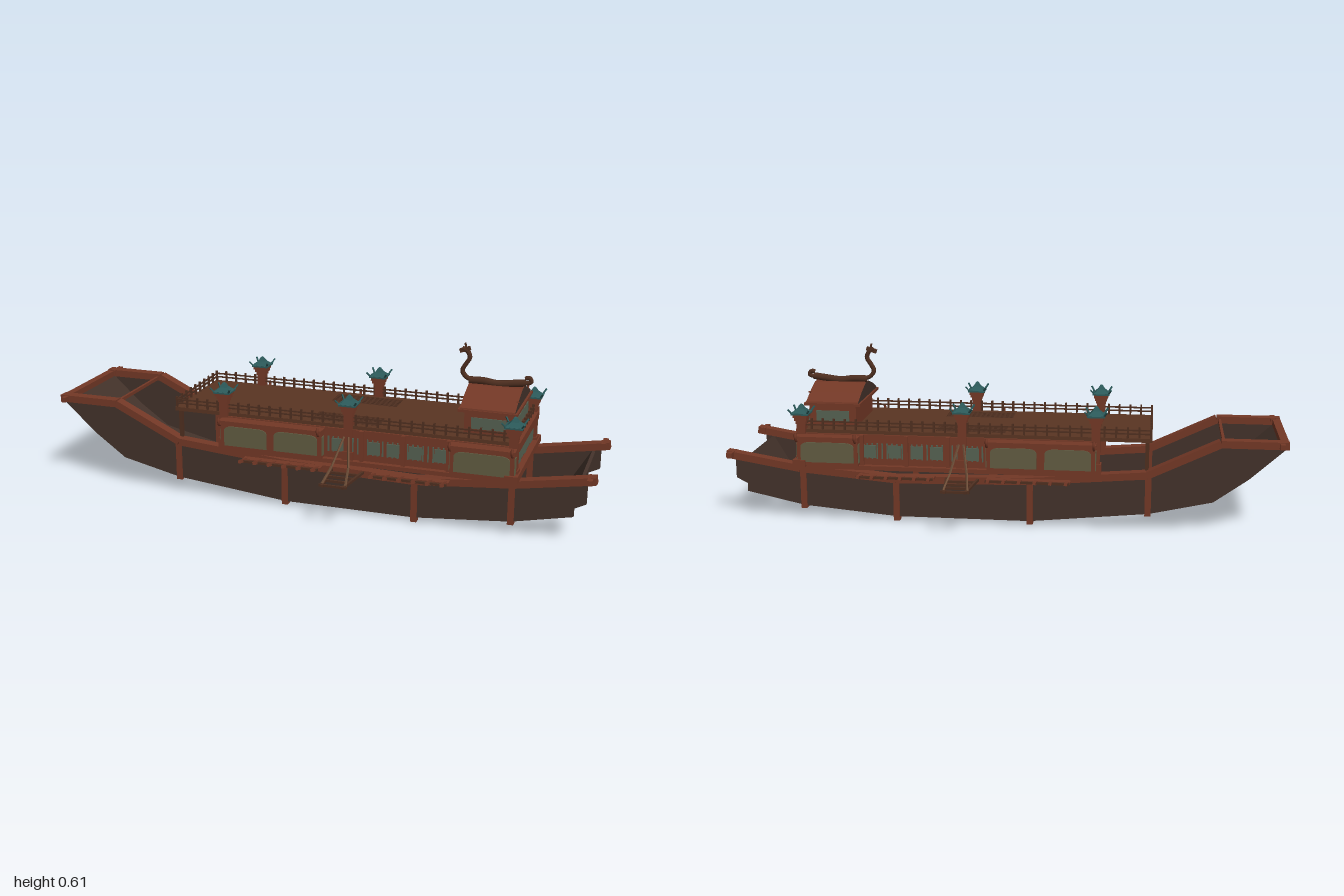
import * as THREE from 'three';

const material = (name, color, side = THREE.FrontSide) => {
  const m = new THREE.MeshStandardMaterial({ color, side });
  m.name = name;
  return m;
};

export function createModel() {
  const hullWood = material('dark hull wood', 0x43322a);
  const trim = material('red brown trim', 0x733826);
  const deck = material('deck brown', 0x5a3522);
  const rail = material('railing brown', 0x4f2f20);
  const panel = material('olive panel', 0x625c42);
  const screen = material('grey green screen', 0x566252);
  const teal = material('teal tile', 0x2c5a5a, THREE.DoubleSide);
  const rope = material('light pole wood', 0x6b4c36);

  const model = new THREE.Group();
  model.name = 'riverBarge';
  const group = (name, parent = model) => {
    const g = new THREE.Group();
    g.name = name;
    parent.add(g);
    return g;
  };
  const add = (parent, name, geo, mat) => {
    const m = new THREE.Mesh(geo, mat);
    m.name = name;
    parent.add(m);
    return m;
  };
  // box from its lower and upper limits on each axis
  const box = (parent, name, mat, x0, x1, y0, y1, z0, z1) => {
    const m = add(parent, name, new THREE.BoxGeometry(Math.abs(x1 - x0), Math.abs(y1 - y0), Math.abs(z1 - z0)), mat);
    m.position.set((x0 + x1) / 2, (y0 + y1) / 2, (z0 + z1) / 2);
    return m;
  };
  // straight beam between two points
  const bar = (parent, name, mat, a, b, h, w = h) => {
    const p = new THREE.Vector3(...a), d = new THREE.Vector3(...b).sub(p);
    const m = add(parent, name, new THREE.BoxGeometry(d.length(), h, w), mat);
    m.position.copy(p).addScaledVector(d, 0.5);
    m.quaternion.setFromUnitVectors(new THREE.Vector3(1, 0, 0), d.normalize());
    return m;
  };
  const tube = (parent, name, mat, pts, r) => add(parent, name, new THREE.TubeGeometry(
    new THREE.CatmullRomCurve3(pts.map(p => new THREE.Vector3(...p))), 18, r, 6), mat);

  // hull side profile
  const top = [[-1, 0.32], [-0.77, 0.32], [-0.52, 0.2], [-0.1, 0.165], [0.37, 0.155], [0.72, 0.185], [0.99, 0.23]];
  const bottom = [[0.96, 0.21], [0.96, 0.14], [0.92, 0.12], [0.92, 0.09], [0.71, 0.045], [0.37, 0.015],
    [-0.11, 0.015], [-0.53, 0.058], [-0.75, 0.108], [-0.87, 0.195], [-0.99, 0.305]];
  const side = new THREE.Shape([...top, ...bottom].map(p => new THREE.Vector2(...p)));
  const hull = group('hull');
  for (const s of [1, -1]) {
    const wall = add(hull, 'hullSide', new THREE.ExtrudeGeometry(side, { depth: 0.016, bevelEnabled: false }), hullWood);
    wall.position.z = s * 0.18 - 0.008;
    for (let i = 0; i < top.length - 1; i++)
      bar(hull, 'gunwale', trim, [...top[i], s * 0.184], [...top[i + 1], s * 0.184], 0.026, 0.038);
    for (const [x, y0, y1] of [[-0.525, 0.05, 0.2], [-0.11, 0.004, 0.165], [0.37, 0, 0.16], [0.71, 0.035, 0.185]])
      box(hull, 'hullRib', trim, x - 0.011, x + 0.011, y0, y1, s * 0.166, s * 0.194);
    for (const [x, y] of [[-0.975, 0.322], [0.97, 0.23]])
      box(hull, 'endPeg', trim, x - 0.009, x + 0.009, y - 0.009, y + 0.009, s * 0.16, s * 0.228);
  }
  // sloping stern floor, cross beams and bow board
  const ramp = [[-0.985, 0.31], [-0.87, 0.203], [-0.75, 0.117], [-0.535, 0.068]];
  for (let i = 0; i < 3; i++)
    bar(hull, 'sternFloor', hullWood, [...ramp[i], 0], [...ramp[i + 1], 0], 0.012, 0.345);
  box(hull, 'sternBeam', trim, -1, -0.972, 0.308, 0.33, -0.17, 0.17);
  box(hull, 'sternCrossbar', trim, -0.785, -0.775, 0.312, 0.324, -0.17, 0.17);
  bar(hull, 'bowBoard', hullWood, [0.86, 0.078, 0], [0.935, 0.205, 0], 0.012, 0.345);

  // cabin shell and roof deck with two grated hatches
  const cabin = group('cabin');
  const outline = new THREE.Shape([[-0.535, -0.185], [0.72, -0.185], [0.72, 0.185], [-0.535, 0.185]]
    .map(p => new THREE.Vector2(...p)));
  for (const s of [1, -1]) {
    outline.holes.push(new THREE.Path([[-0.02, 0.07], [0.23, 0.07], [0.23, 0.16], [-0.02, 0.16]]
      .map(([x, z]) => new THREE.Vector2(x, s * z))));
    for (let i = 0; i <= 14; i++) {
      const x = -0.02 + i * 0.25 / 14;
      box(cabin, 'hatchGrate', rail, x - 0.004, x + 0.004, 0.319, 0.325, s * 0.07, s * 0.16);
    }
    for (let i = 0; i <= 6; i++) {
      const z = s * (0.07 + i * 0.015);
      box(cabin, 'hatchGrate', rail, -0.02, 0.23, 0.319, 0.325, z - 0.003, z + 0.003);
    }
  }
  const roof = add(cabin, 'roofDeck', new THREE.ExtrudeGeometry(outline, { depth: 0.014, bevelEnabled: false }), deck);
  roof.rotation.x = -Math.PI / 2;
  roof.position.y = 0.314;
  for (const [x, w] of [[-0.335, 0.012], [0.7, 0.014]])
    box(cabin, 'cabinEndWall', trim, x, x + w, 0.205, 0.315, -0.175, 0.175);
  box(cabin, 'bowSill', trim, 0.69, 0.735, 0.2, 0.225, -0.235, 0.235);
  box(cabin, 'bowLintel', trim, 0.7, 0.73, 0.3, 0.33, -0.19, 0.19);
  // lattice screens across a wall that faces the bow
  const bowScreen = (x, y0, y1, half, patches) => {
    const count = Math.round(half * 2 / 0.014);
    for (let i = 0; i <= count; i++) {
      const z = -half + i * half * 2 / count;
      box(cabin, 'bowLattice', screen, x, x + 0.004, y0, y1, z - 0.0025, z + 0.0025);
    }
    for (const z of patches)
      box(cabin, 'bowScreen', screen, x, x + 0.006, y0, y1, z - 0.017, z + 0.017);
  };
  bowScreen(0.714, 0.235, 0.28, 0.155, [-0.115, 0, 0.115]);

  for (const s of [1, -1]) {
    box(cabin, 'cabinSideWall', trim, -0.335, 0.714, 0.195, 0.315, s * 0.178, s * 0.192);
    box(cabin, 'sideSill', trim, -0.34, 0.72, 0.19, 0.205, s * 0.18, s * 0.212);
    box(cabin, 'roofPost', rail, -0.525, -0.512, 0.19, 0.315, s * 0.165, s * 0.178);
    // projecting bays with sloped eaves
    for (const [x0, x1, panes] of [[-0.34, 0.04, 2], [0.5, 0.72, 1]]) {
      box(cabin, 'bay', trim, x0, x1, 0.205, 0.3, s * 0.19, s * 0.224);
      const w = (x1 - x0) / panes;
      for (let i = 0; i < panes; i++) {
        const a = x0 + i * w + 0.014, b = x0 + (i + 1) * w - 0.014;
        const p = new THREE.Shape();
        p.moveTo(a, 0.217); p.lineTo(b, 0.217); p.lineTo(b, 0.272);
        p.quadraticCurveTo(b, 0.288, b - 0.03, 0.29); p.lineTo(a + 0.03, 0.29);
        p.quadraticCurveTo(a, 0.288, a, 0.272);
        const m = add(cabin, 'bayPanel', new THREE.ExtrudeGeometry(p, { depth: 0.005, bevelEnabled: false }), panel);
        m.position.z = s > 0 ? 0.223 : -0.228;
      }
      for (const x of [x0, x1])
        box(cabin, 'bayEndPanel', panel, x - 0.003, x + 0.003, 0.216, 0.285, s * 0.198, s * 0.22);
      bar(cabin, 'bayEave', trim, [x0 - 0.004, 0.305, s * 0.212], [x1 + 0.004, 0.305, s * 0.212], 0.014, 0.052);
      for (const x of [x0 + 0.004, x1 - 0.004])
        tube(cabin, 'eaveHook', trim, [[x, 0.3, s * 0.225], [x, 0.298, s * 0.243], [x, 0.312, s * 0.253], [x, 0.328, s * 0.25]], 0.005);
    }
    // recessed middle windows
    for (let x = 0.055; x < 0.49; x += 0.018)
      box(cabin, 'sideLattice', screen, x, x + 0.005, 0.228, 0.285, s * 0.191, s * 0.195);
    for (const x of [0.07, 0.2, 0.27, 0.35, 0.44])
      box(cabin, 'sideScreen', screen, x, x + 0.045, 0.232, 0.278, s * 0.191, s * 0.197);
    for (const x of [0.18, 0.33, 0.49])
      box(cabin, 'windowPost', trim, x - 0.007, x + 0.007, 0.205, 0.315, s * 0.19, s * 0.204);
  }

  // railings around the roof deck
  const railing = group('railing');
  const fence = (a, b) => {
    const n = Math.round(Math.hypot(b[0] - a[0], b[1] - a[1]) / 0.04);
    for (const y of [0.343, 0.356]) bar(railing, 'handrail', rail, [a[0], y, a[1]], [b[0], y, b[1]], 0.005);
    for (let i = 0; i <= n; i++) {
      const x = a[0] + (b[0] - a[0]) * i / n, z = a[1] + (b[1] - a[1]) * i / n;
      box(railing, 'baluster', rail, x - 0.0035, x + 0.0035, 0.325, 0.367, z - 0.0035, z + 0.0035);
    }
  };
  for (const s of [1, -1]) fence([-0.53, s * 0.18], [0.715, s * 0.18]);
  fence([-0.53, -0.18], [-0.53, 0.18]);
  fence([0.715, -0.18], [0.715, 0.18]);

  // lantern columns with curved tile caps
  const v2 = pts => pts.map(p => new THREE.Vector2(...p));
  const lathe4 = pts => new THREE.LatheGeometry(v2(pts), 4, Math.PI / 4).toNonIndexed();
  for (const [x, h] of [[-0.34, 0.405], [0.13, 0.405], [0.71, 0.385]]) for (const s of [1, -1]) {
    const col = group('column');
    col.position.set(x, 0, s * 0.184);
    box(col, 'shaft', trim, -0.015, 0.015, 0.19, h - 0.03, -0.015, 0.015);
    box(col, 'base', trim, -0.02, 0.02, 0.19, 0.235, -0.02, 0.02);
    for (let i = 0; i < 3; i++) {
      const r = 0.018 + i * 0.004, y = h - 0.035 + i * 0.011;
      box(col, 'capital', trim, -r, r, y, y + 0.011, -r, r);
    }
    const capGeo = lathe4([[0.046, 0.004], [0.034, 0.007], [0.018, 0.018], [0.007, 0.032], [0, 0.036]]);
    capGeo.computeVertexNormals();
    add(col, 'tileCap', capGeo, teal).position.y = h;
    box(col, 'capUnderside', teal, -0.031, 0.031, h - 0.002, h + 0.005, -0.031, 0.031);
    for (const a of [1, -1]) for (const b of [1, -1])
      bar(col, 'capHorn', teal, [a * 0.028, h + 0.005, b * 0.028], [a * 0.038, h + 0.02, b * 0.038], 0.005);
  }

  // pavilion on the roof deck
  const pavilion = group('pavilion');
  box(pavilion, 'pavilionBody', trim, 0.525, 0.695, 0.325, 0.412, -0.13, 0.13);
  bowScreen(0.696, 0.345, 0.385, 0.115, [-0.05, 0.04, -0.1]);
  for (const s of [1, -1]) {
    box(pavilion, 'pavilionScreen', screen, 0.55, 0.67, 0.345, 0.385, s * 0.129, s * 0.134);
    bar(pavilion, 'eaveTip', trim, [0.7, 0.44, s * 0.085], [0.7, 0.447, s * 0.108], 0.006);
  }
  const gable = new THREE.Shape(v2([[-0.147, 0.412], [0.147, 0.412], [0.145, 0.42], [0.09, 0.445], [0.02, 0.468],
    [-0.02, 0.468], [-0.09, 0.445], [-0.145, 0.42]]));
  const gableGeo = new THREE.ExtrudeGeometry(gable, { depth: 0.19, bevelEnabled: false });
  gableGeo.rotateY(Math.PI / 2);
  add(pavilion, 'pavilionRoof', gableGeo, [hullWood, trim]).position.x = 0.512;
  box(pavilion, 'eaveBoard', trim, 0.505, 0.71, 0.406, 0.415, -0.15, 0.15);

  // ridge beast: long body, rearing neck and curled tail
  tube(pavilion, 'ridgeBody', rail, [[0.51, 0.478, 0], [0.56, 0.479, 0], [0.61, 0.473, 0], [0.67, 0.48, 0], [0.71, 0.485, 0]], 0.013);
  tube(pavilion, 'ridgeNeck', rail, [[0.53, 0.478, 0], [0.5, 0.487, 0], [0.485, 0.51, 0], [0.497, 0.535, 0],
    [0.51, 0.558, 0], [0.5, 0.582, 0], [0.482, 0.59, 0]], 0.0085);
  bar(pavilion, 'ridgeHead', rail, [0.51, 0.592, 0], [0.474, 0.58, 0], 0.014, 0.012);
  bar(pavilion, 'ridgeHorn', rail, [0.495, 0.594, 0], [0.492, 0.609, 0], 0.006);
  tube(pavilion, 'ridgeTail', rail, [[0.68, 0.482, 0], [0.705, 0.483, 0], [0.727, 0.49, 0], [0.72, 0.503, 0], [0.705, 0.5, 0]], 0.008);

  // outriggers, benches and stays along both sides
  const rigging = group('outriggers');
  for (const s of [1, -1]) {
    for (const [x0, x1] of [[-0.255, 0.04], [0.225, 0.5]]) {
      bar(rigging, 'benchPlank', rail, [x0, 0.178, s * 0.262], [x1, 0.178, s * 0.262], 0.008, 0.008);
      bar(rigging, 'benchStep', trim, [x0, 0.172, s * 0.22], [x1, 0.172, s * 0.22], 0.008, 0.03);
      for (let i = 0; i <= 5; i++) {
        const x = x0 + 0.012 + i * (x1 - x0 - 0.024) / 5;
        bar(rigging, 'benchArm', trim, [x, 0.165, s * 0.195], [x, 0.184, s * 0.287], 0.011);
      }
    }
    for (const e of [1, -1]) {
      bar(rigging, 'boomPole', rail, [0.13 + e * 0.058, 0.165, s * 0.19], [0.13 + e * 0.036, 0.165, s * 0.37], 0.009);
      bar(rigging, 'lowerStay', rope, [0.13 + e * 0.042, 0.168, s * 0.355], [0.13 + e * 0.03, 0.207, s * 0.285], 0.006);
      bar(rigging, 'upperStay', rope, [0.13 + e * 0.03, 0.207, s * 0.285], [0.13 + e * 0.008, 0.295, s * 0.215], 0.006);
    }
    for (const [z, w] of [[0.235, 0.053], [0.275, 0.048], [0.315, 0.043], [0.362, 0.05]])
      bar(rigging, 'boomRung', rail, [0.13 - w, 0.165, s * z], [0.13 + w, 0.165, s * z], 0.008);
  }
  return model;
}
